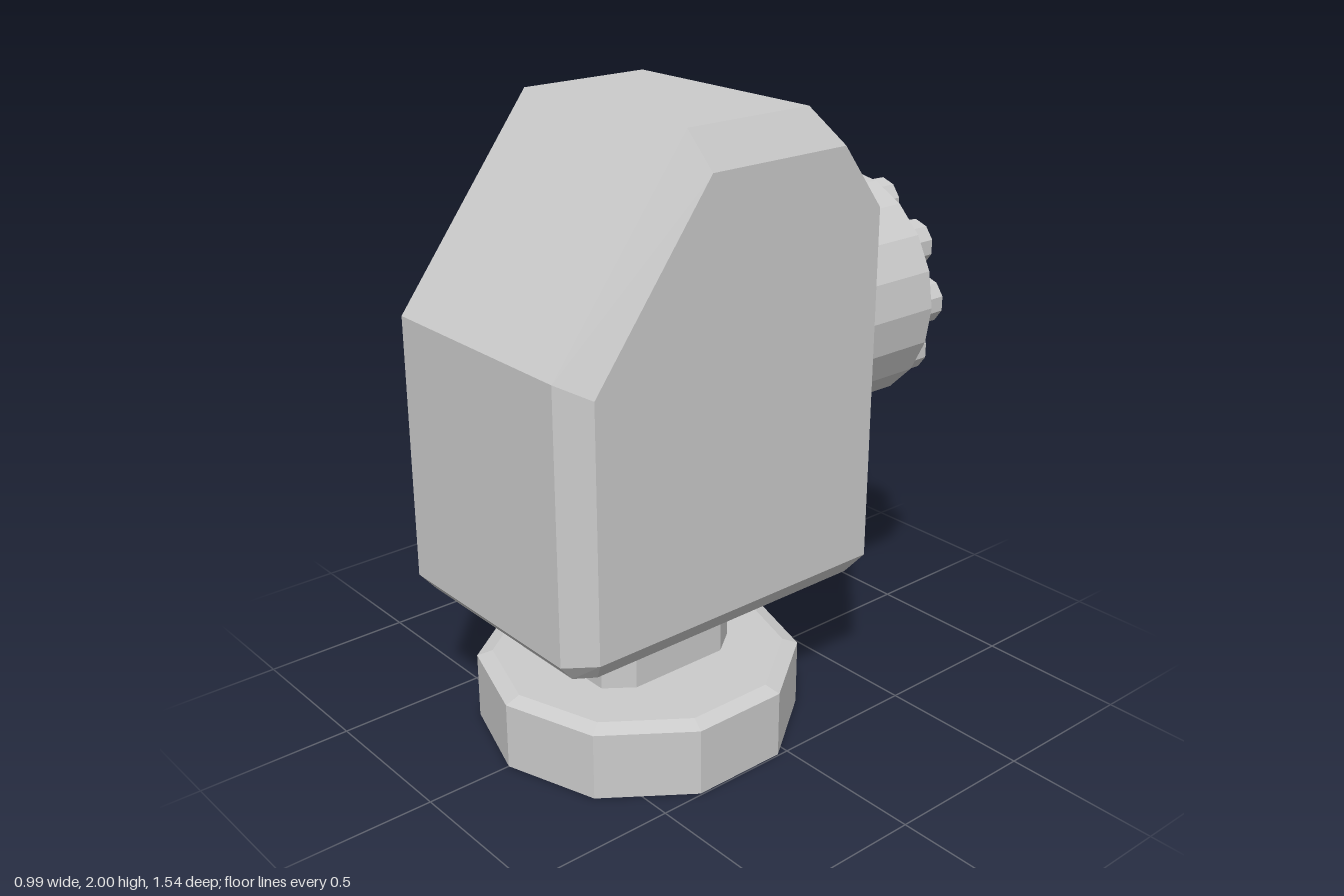
import * as THREE from 'three';
import { ConvexGeometry } from 'three/addons/geometries/ConvexGeometry.js';

const material = new THREE.MeshStandardMaterial({ color: 0xcccccc, flatShading: true });

export function createModel() {
  const model = new THREE.Group();
  const add = (name, geometry, x = 0, y = 0, z = 0, parent = model) => {
    const mesh = new THREE.Mesh(geometry, material);
    mesh.name = name;
    mesh.position.set(x, y, z);
    parent.add(mesh);
    return mesh;
  };

  // Wedge-topped housing: chamfered corners of one side, mirrored across x
  const corners = [
    [0.37, 2, 0.305], [0.37, 2, -0.145], [0.37, 1.39, 0.77], [0.37, 0.54, 0.77],
    [0.435, 1.885, 0.27], [0.435, 1.885, -0.233], [0.435, 1.34, 0.68], [0.435, 0.54, 0.68],
    [0.435, 1.68, -0.385], [0.435, 0.54, -0.385],
    [0.395, 0.48, -0.34], [0.395, 0.48, 0.66], [0.355, 0.48, 0.72],
  ];
  const points = corners.flatMap(([x, y, z]) => [new THREE.Vector3(x, y, z), new THREE.Vector3(-x, y, z)]);
  add('housing', new ConvexGeometry(points));

  // Ten-sided foot with a bevelled top edge
  const footZ = 0.195;
  add('foot', new THREE.CylinderGeometry(0.52, 0.52, 0.22, 10), 0, 0.11, footZ);
  add('footBevel', new THREE.CylinderGeometry(0.47, 0.52, 0.017, 10), 0, 0.2285, footZ);

  // Neck: rectangular post with cut corners
  const outline = [[0.135, 0.26], [0.2, 0.173], [0.2, -0.173], [0.135, -0.26],
    [-0.135, -0.26], [-0.2, -0.173], [-0.2, 0.173], [-0.135, 0.26]];
  const neckShape = new THREE.Shape(outline.map(([x, y]) => new THREE.Vector2(x, y)));
  const neckGeometry = new THREE.ExtrudeGeometry(neckShape, { depth: 0.26, bevelEnabled: false });
  neckGeometry.rotateX(-Math.PI / 2);
  add('neck', neckGeometry, 0, 0.23, 0.19);

  // Rear drum with a ring of ten round studs
  const rear = new THREE.Group();
  rear.name = 'rearDrum';
  rear.position.set(0, 1.285, 0);
  model.add(rear);
  const disc = (radius, depth, sides) => new THREE.CylinderGeometry(radius, radius, depth, sides).rotateX(-Math.PI / 2);
  add('drum', disc(0.382, 0.335, 20), 0, 0, -0.5375, rear);
  const studGeometry = disc(0.077, 0.07, 10);
  for (let i = 0; i < 10; i++) {
    const a = (i / 10) * Math.PI * 2;
    const stud = add('stud', studGeometry, 0.297 * Math.cos(a), 0.297 * Math.sin(a), -0.733, rear);
    stud.rotation.z = a;
  }
  return model;
}
